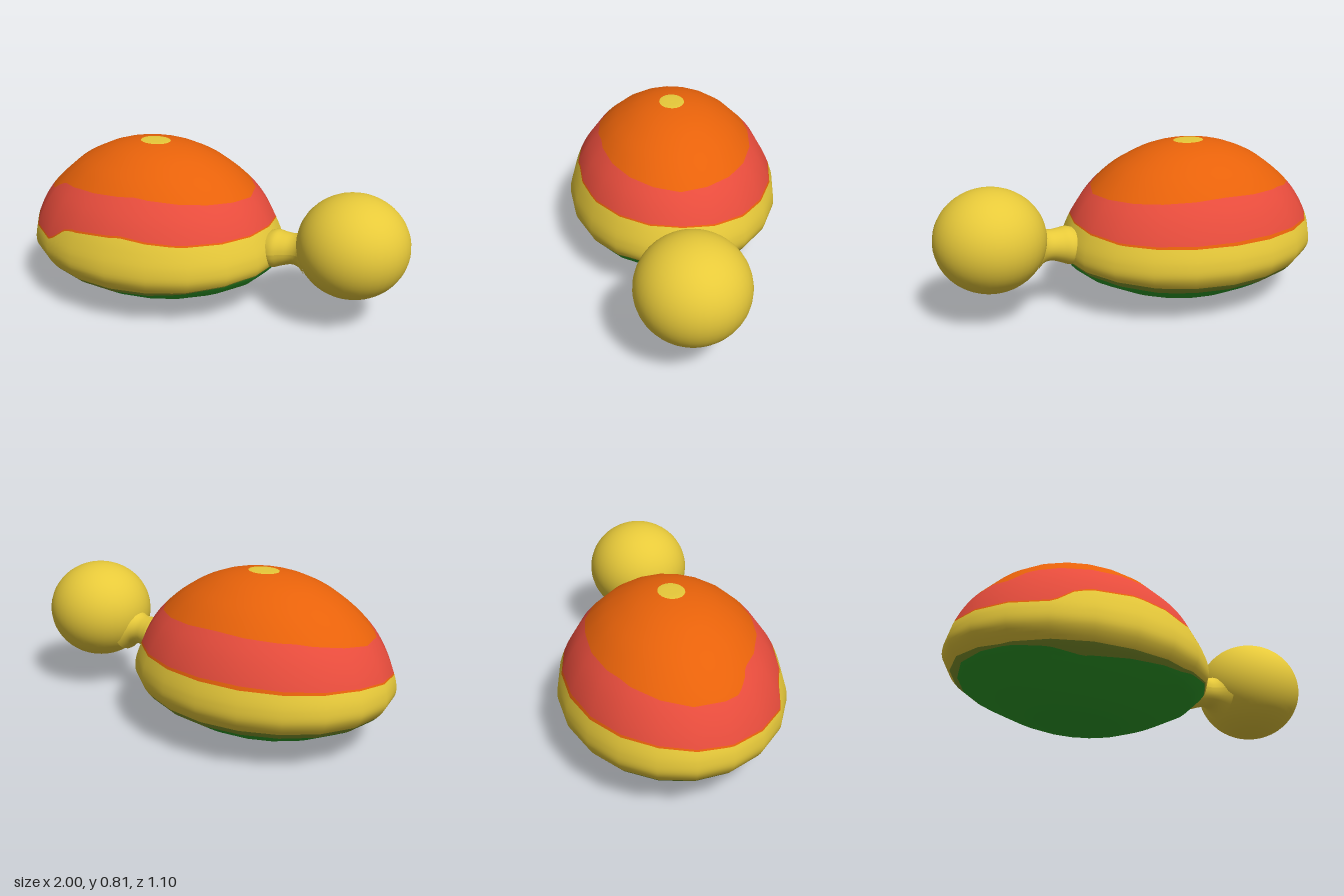
import * as THREE from 'three';

const material = (name, color) => {
  const m = new THREE.MeshStandardMaterial({ color });
  m.name = name;
  return m;
};

// Body is a 20-sided oval dome: plan radii and centre
const RX = 0.67, RZ = 0.545, CX = -0.33, SIDE = 18;

// Body profile from underside to crown: x = share of the plan radius, y = height
const profile = new THREE.CatmullRomCurve3([
  [0, 0], [0.2, 0.009], [0.4, 0.035], [0.6, 0.085], [0.8, 0.15], [0.92, 0.2],
  [1, 0.275], [1, 0.335], [0.955, 0.42], [0.88, 0.51], [0.79, 0.585],
  [0.62, 0.685], [0.45, 0.75], [0.3, 0.788], [0.12, 0.811], [0, 0.813],
].map(([r, y]) => new THREE.Vector3(r, y, 0)), false, 'centripetal');

// Height on the profile to curve parameter
function paramAt(y) {
  let a = 0, b = 1;
  for (let i = 0; i < 26; i++) {
    const m = (a + b) / 2;
    if (profile.getPoint(m).y < y) a = m; else b = m;
  }
  return (a + b) / 2;
}

// Linear interpolation through [degrees, value] keys
const keyed = (keys) => (deg) => {
  const i = Math.max(1, keys.findIndex(([d]) => d >= deg));
  const [d0, v0] = keys[i - 1], [d1, v1] = keys[i];
  return v0 + (v1 - v0) * (deg - d0) / (d1 - d0);
};

// Wavy colour borders; degrees run from +x through +z
const sideBottom = keyed([[0, 0.26], [30, 0.25], [60, 0.215], [90, 0.205], [150, 0.2],
  [180, 0.215], [270, 0.21], [300, 0.215], [330, 0.24], [360, 0.26]]);
const rimWidth = keyed([[0, 0.006], [50, 0.008], [70, 0.022], [90, 0.032], [112, 0.045],
  [130, 0.02], [150, 0.008], [200, 0.035], [300, 0.04], [335, 0.025], [360, 0.006]]);
const sideTop = keyed([[0, 0.45], [60, 0.455], [85, 0.478], [112, 0.452], [117, 0.435],
  [121, 0.4], [125, 0.367], [165, 0.375], [200, 0.4], [270, 0.415], [320, 0.42], [360, 0.45]]);
const seamWidth = keyed([[0, 0.006], [90, 0.009], [200, 0.008], [255, 0.018],
  [290, 0.012], [360, 0.006]]);
const redTop = keyed([[0, 0.59], [45, 0.62], [80, 0.645], [120, 0.625], [140, 0.61],
  [152, 0.545], [180, 0.55], [225, 0.6], [270, 0.62], [315, 0.6], [360, 0.59]]);
const BOTTOM = () => 0, CROWN = () => 0.8112, PEAK = () => 0.813;

// One colour band of the body between two border functions
function bodyBand(name, mat, low, high, rows) {
  const cols = 120, pos = [], nor = [], idx = [];
  const rad = THREE.MathUtils.degToRad;
  for (let i = 0; i <= cols; i++) {
    const deg = i * 360 / cols, c = Math.cos(rad(deg)), s = Math.sin(rad(deg));
    // Plan position on the straight side between two corners
    const corner = Math.floor(deg / SIDE) * SIDE, f = (deg - corner) / SIDE;
    const px = THREE.MathUtils.lerp(Math.cos(rad(corner)), Math.cos(rad(corner + SIDE)), f);
    const pz = THREE.MathUtils.lerp(Math.sin(rad(corner)), Math.sin(rad(corner + SIDE)), f);
    const t0 = low === BOTTOM ? 0 : paramAt(low(deg));
    const t1 = high === PEAK ? 1 : paramAt(high(deg));
    for (let j = 0; j <= rows; j++) {
      const t = t0 + (t1 - t0) * j / rows;
      const p = profile.getPoint(t), d = profile.getTangent(t);
      pos.push(CX + RX * p.x * px, p.y, RZ * p.x * pz);
      const n = new THREE.Vector3(d.y * c / RX, -d.x, d.y * s / RZ).normalize();
      nor.push(n.x, n.y, n.z);
      if (i < cols && j < rows) {
        const k = i * (rows + 1) + j, m = k + rows + 1;
        idx.push(k, k + 1, m, m, k + 1, m + 1);
      }
    }
  }
  const g = new THREE.BufferGeometry();
  g.setAttribute('position', new THREE.Float32BufferAttribute(pos, 3));
  g.setAttribute('normal', new THREE.Float32BufferAttribute(nor, 3));
  g.setIndex(idx);
  const mesh = new THREE.Mesh(g, mat);
  mesh.name = name;
  return mesh;
}

export function createModel() {
  const yellow = material('yellow', 0xe8ca3a);
  const orange = material('orange', 0xe8620a);
  const red = material('red', 0xe74c3c);
  const green = material('green', 0x2f9f29);
  const olive = material('olive', 0x82962c);
  const model = new THREE.Group();
  model.name = 'model';

  // Body, banded from underside to crown
  const greenTop = (d) => sideBottom(d) - rimWidth(d);
  const redBottom = (d) => sideTop(d) + seamWidth(d);
  const body = new THREE.Group();
  body.name = 'body';
  body.add(
    bodyBand('underside', green, BOTTOM, greenTop, 16),
    bodyBand('undersideRim', olive, greenTop, sideBottom, 3),
    bodyBand('sideBand', yellow, sideBottom, sideTop, 12),
    bodyBand('seamLine', orange, sideTop, redBottom, 1),
    bodyBand('lowerDome', red, redBottom, redTop, 8),
    bodyBand('upperDome', orange, redTop, CROWN, 14),
    bodyBand('crownSpot', yellow, CROWN, PEAK, 3),
  );
  model.add(body);

  // Neck, flared at both ends and rising slightly to the head
  const neckCurve = new THREE.SplineCurve([
    [0.088, 0.29], [0.097, 0.335], [0.086, 0.38], [0.078, 0.43], [0.092, 0.475], [0.135, 0.52],
  ].map(([r, x]) => new THREE.Vector2(r, x)));
  const neckGeo = new THREE.LatheGeometry(neckCurve.getPoints(20), 32);
  neckGeo.rotateZ(-Math.PI / 2);
  const p = neckGeo.attributes.position;
  for (let i = 0; i < p.count; i++) {
    p.setY(i, p.getY(i) + 0.356 + 0.15 * (p.getX(i) - 0.43));
  }
  neckGeo.computeVertexNormals();
  const neck = new THREE.Mesh(neckGeo, yellow);
  neck.name = 'neck';
  model.add(neck);

  // Head
  const head = new THREE.Mesh(new THREE.SphereGeometry(1, 40, 28), yellow);
  head.name = 'head';
  head.scale.set(0.273, 0.255, 0.269);
  head.position.set(0.727, 0.427, -0.006);
  model.add(head);

  return model;
}
